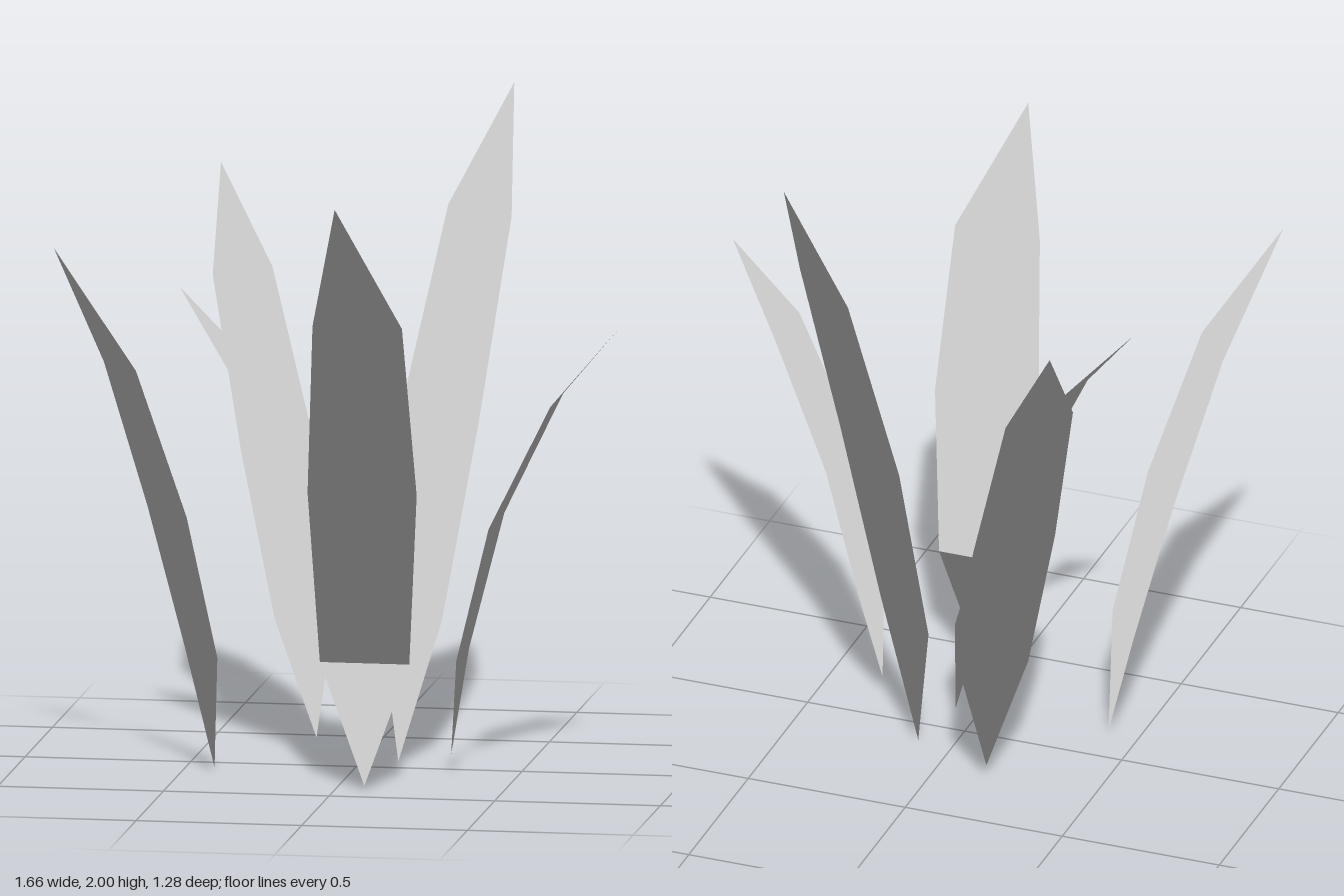
import * as THREE from 'three';

// Half-width of a blade at each point of its spine, as a share of its side vector
const TAPER = [0, 1, 1.22, 1, 0];

// Each blade: spine from root to tip, and the half-width vector across it
const BLADES = [
  { name: 'frontBlade', side: [-0.135, 0, 0],
    spine: [[0.085, 0.01, 0.37], [0.085, 0.38, 0.365], [0.085, 0.9, 0.41], [0.085, 1.42, 0.5], [0.04, 1.8, 0.64]] },
  { name: 'leftBlade', side: [-0.004, -0.004, 0.094],
    spine: [[0.305, 0.065, 0.115], [0.34, 0.37, 0.115], [0.445, 0.78, 0.135], [0.635, 1.16, 0.183], [0.83, 1.39, 0.24]] },
  { name: 'middleBlade', side: [0.016, 0.008, -0.106],
    spine: [[0.05, 0.04, 0.055], [0.008, 0.36, 0.088], [-0.11, 0.78, 0.108], [-0.305, 1.17, 0.08], [-0.53, 1.44, 0.02]] },
  { name: 'backLeftBlade', side: [0.11, 0, 0.088],
    spine: [[0.11, 0, -0.1], [0.14, 0.44, -0.137], [0.215, 1.03, -0.23], [0.315, 1.63, -0.352], [0.4, 2, -0.465]] },
  { name: 'frontRightBlade', side: [-0.06, 0, -0.07],
    spine: [[-0.405, 0.01, 0.14], [-0.44, 0.36, 0.17], [-0.53, 0.8, 0.25], [-0.655, 1.255, 0.355], [-0.835, 1.63, 0.475]] },
  { name: 'backRightBlade', side: [0.077, 0, -0.08],
    spine: [[-0.16, 0.04, -0.24], [-0.203, 0.4, -0.285], [-0.3, 0.89, -0.378], [-0.425, 1.4, -0.495], [-0.515, 1.7, -0.645]] },
];

// Flat ribbon along the spine, pointed at both ends, upper side facing inward
function bladeGeometry(spine, side) {
  const across = new THREE.Vector3(...side);
  const positions = [], normals = [], index = [];
  spine.forEach((point, i) => {
    for (const s of [-1, 1]) {
      const p = new THREE.Vector3(...point).addScaledVector(across, s * TAPER[i]);
      positions.push(p.x, p.y, p.z);
      normals.push(0, 1, 0); // upright normals give foliage an even shade
    }
  });
  const last = spine.length - 2;
  for (let i = 0; i <= last; i++) {
    const a = 2 * i, b = a + 1, c = a + 2, d = a + 3;
    if (i < last) index.push(a, d, c); // the tip needs only one triangle
    if (i > 0) index.push(a, b, d);    // so does the root
  }
  const geometry = new THREE.BufferGeometry();
  geometry.setAttribute('position', new THREE.Float32BufferAttribute(positions, 3));
  geometry.setAttribute('normal', new THREE.Float32BufferAttribute(normals, 3));
  geometry.setIndex(index);
  return geometry;
}

export function createModel() {
  const group = new THREE.Group();
  group.name = 'grassTuft';
  const material = new THREE.MeshStandardMaterial({ color: 0xcccccc, side: THREE.DoubleSide });
  for (const { name, spine, side } of BLADES) {
    const blade = new THREE.Mesh(bladeGeometry(spine, side), material);
    blade.name = name;
    group.add(blade);
  }
  return group;
}
